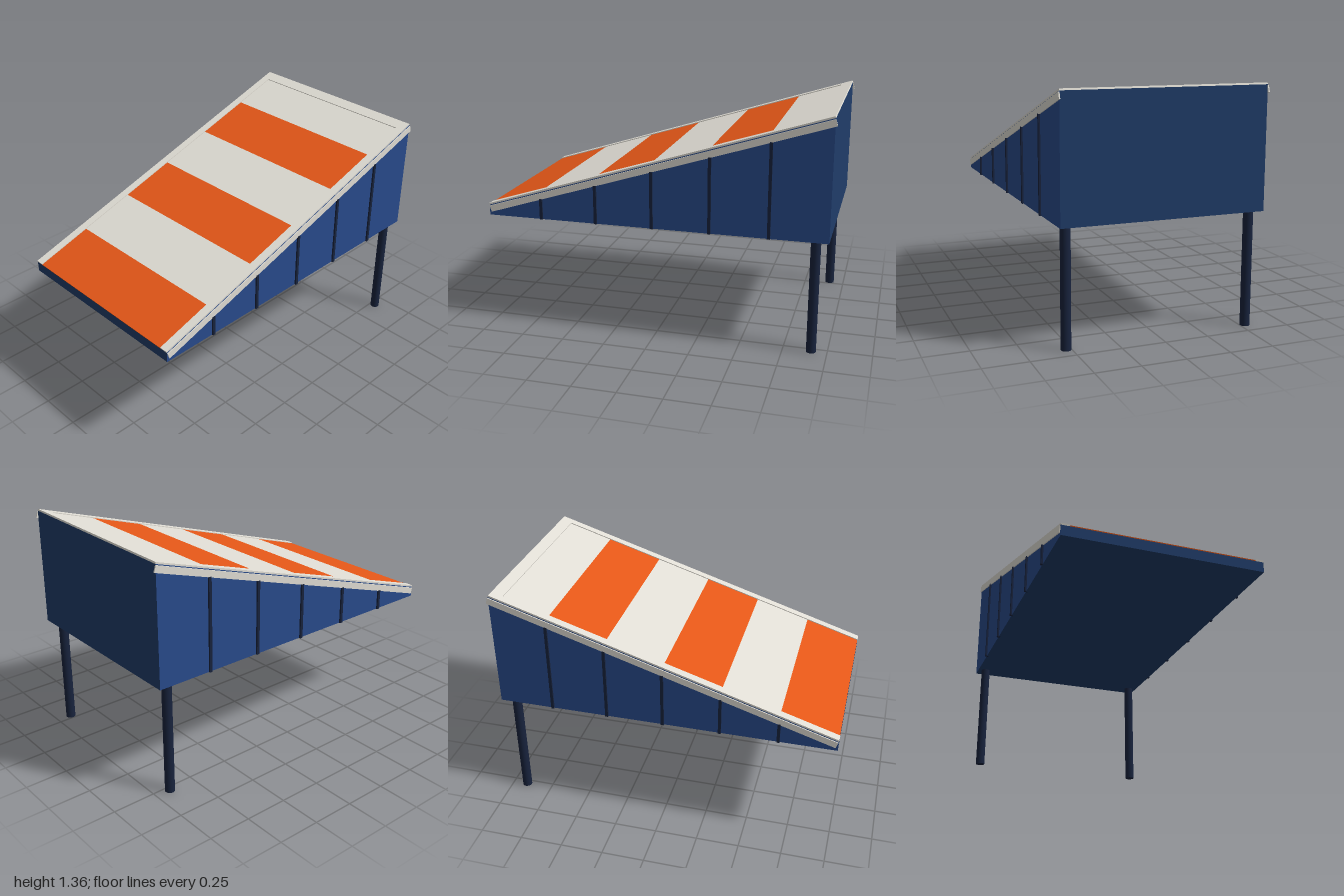
import * as THREE from 'three';

const mat = (color) => new THREE.MeshStandardMaterial({ color });
const sideBlue = mat(0x294b8c), bodyBlue = mat(0x203c69), navy = mat(0x18233d);
const orange = mat(0xe65818), white = mat(0xe2dfd6);

const FRONT = 0.998, BACK = -0.985, BASE = 0.665, HALF = 0.58;
const MID = 1.04, SLOPE = 0.315, ANGLE = Math.atan(SLOPE);
const roofY = (z) => MID - SLOPE * z;

export function createModel() {
  const model = new THREE.Group();
  model.name = 'slopedBoard';

  const add = (parent, name, geometry, material, x = 0, y = 0, z = 0) => {
    const mesh = new THREE.Mesh(geometry, material);
    mesh.name = name;
    mesh.position.set(x, y, z);
    parent.add(mesh);
    return mesh;
  };
  const box = (parent, name, material, w, h, d, x, y, z) =>
    add(parent, name, new THREE.BoxGeometry(w, h, d), material, x, y, z);

  // Wedge body: side profile extruded across the width
  const profile = new THREE.Shape([
    new THREE.Vector2(-FRONT, BASE),
    new THREE.Vector2(-BACK, BASE),
    new THREE.Vector2(-BACK, roofY(BACK)),
    new THREE.Vector2(-FRONT, roofY(FRONT)),
  ]);
  const wedge = new THREE.ExtrudeGeometry(profile, { depth: 2 * HALF, bevelEnabled: false });
  wedge.translate(0, 0, -HALF).rotateY(Math.PI / 2);
  add(model, 'wedgeBody', wedge, [sideBlue, bodyBlue]);

  // Sloped deck: local z runs down the slope
  const deck = new THREE.Group();
  deck.name = 'deck';
  deck.position.y = MID;
  deck.rotation.x = ANGLE;
  model.add(deck);
  const start = BACK / Math.cos(ANGLE), end = FRONT / Math.cos(ANGLE);
  const length = end - start, middle = (start + end) / 2;

  // Six stripes, alternating from the top edge down
  const step = length / 6;
  for (let i = 0; i < 6; i++) {
    box(deck, i % 2 ? 'orangeStripe' : 'whiteStripe', i % 2 ? orange : white,
      1.064, 0.005, step, 0, 0.0025, start + step * (i + 0.5));
  }

  // Raised border along the top edge and both sides
  box(deck, 'topRail', white, 1.064, 0.01, 0.068, 0, 0.005, start + 0.034);
  for (const s of [-1, 1]) {
    box(deck, 'sideRail', white, 0.048, 0.01, length, s * 0.556, 0.005, middle);
    box(deck, 'sideTrim', white, 0.007, 0.038, length, s * 0.5825, -0.024, middle);
  }

  // Vertical ribs on the side panels, ending under the trim
  for (const s of [-1, 1]) {
    for (let i = -2; i <= 2; i++) {
      const z = 0.006 + i * 0.332;
      const h = roofY(z) - 0.042 - BASE;
      box(model, 'sideRib', navy, 0.02, h, 0.017, s * 0.58, BASE + h / 2, z);
    }
  }

  // Rear legs
  for (const s of [-1, 1]) {
    add(model, 'rearLeg', new THREE.CylinderGeometry(0.028, 0.028, BASE, 16), navy,
      s * 0.53, BASE / 2, -0.91);
  }
  return model;
}
